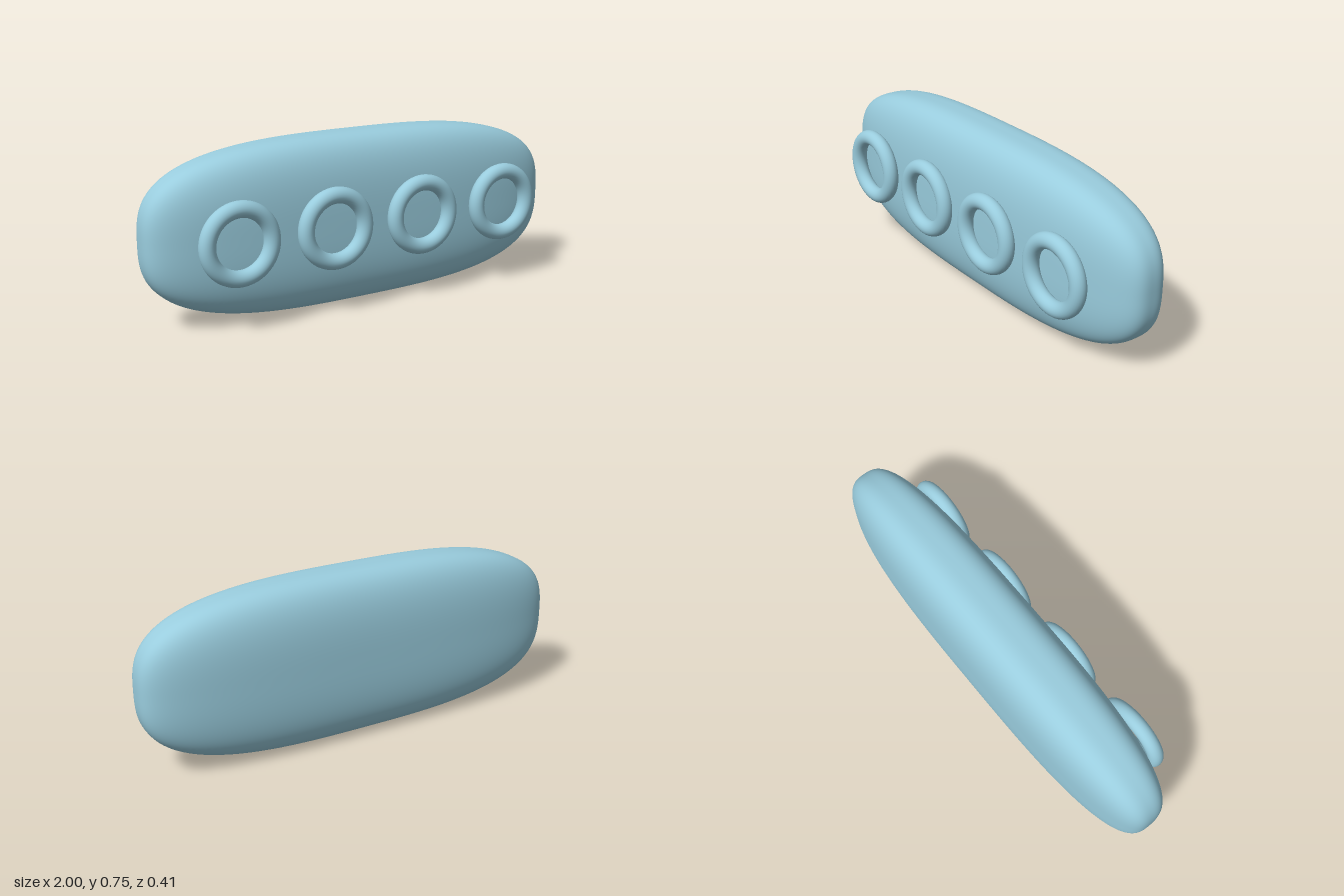
import * as THREE from 'three';

// Rounded pillow: box grid pushed onto |x|^n + |y|^n + |z|^n = 1, then scaled
function superellipsoid(a, b, c, n, seg) {
  const geo = new THREE.BoxGeometry(2, 2, 2, seg, seg, seg);
  const pos = geo.attributes.position;
  const nor = geo.attributes.normal;
  const v = new THREE.Vector3();
  const g = new THREE.Vector3();
  const slope = (t) => Math.sign(t) * Math.abs(t) ** (n - 1);
  for (let i = 0; i < pos.count; i++) {
    v.fromBufferAttribute(pos, i);
    const len = (Math.abs(v.x) ** n + Math.abs(v.y) ** n + Math.abs(v.z) ** n) ** (1 / n);
    v.divideScalar(len);
    g.set(slope(v.x) / a, slope(v.y) / b, slope(v.z) / c).normalize();
    pos.setXYZ(i, v.x * a, v.y * b, v.z * c);
    nor.setXYZ(i, g.x, g.y, g.z);
  }
  return geo;
}

export function createModel() {
  const model = new THREE.Group();
  const material = new THREE.MeshStandardMaterial({ color: 0x99ccdd });

  // Body
  const body = new THREE.Mesh(superellipsoid(1, 0.373, 0.178, 3, 40), material);
  body.name = 'body';
  body.position.set(0, 0.375, -0.027);
  model.add(body);

  // Row of four rings on the front
  const ringGeo = new THREE.TorusGeometry(0.142, 0.035, 24, 64);
  for (let i = 0; i < 4; i++) {
    const ring = new THREE.Mesh(ringGeo, material);
    ring.name = `ring${i + 1}`;
    ring.position.set((i - 1.5) * 0.44, 0.377, 0.17);
    model.add(ring);
  }
  return model;
}
